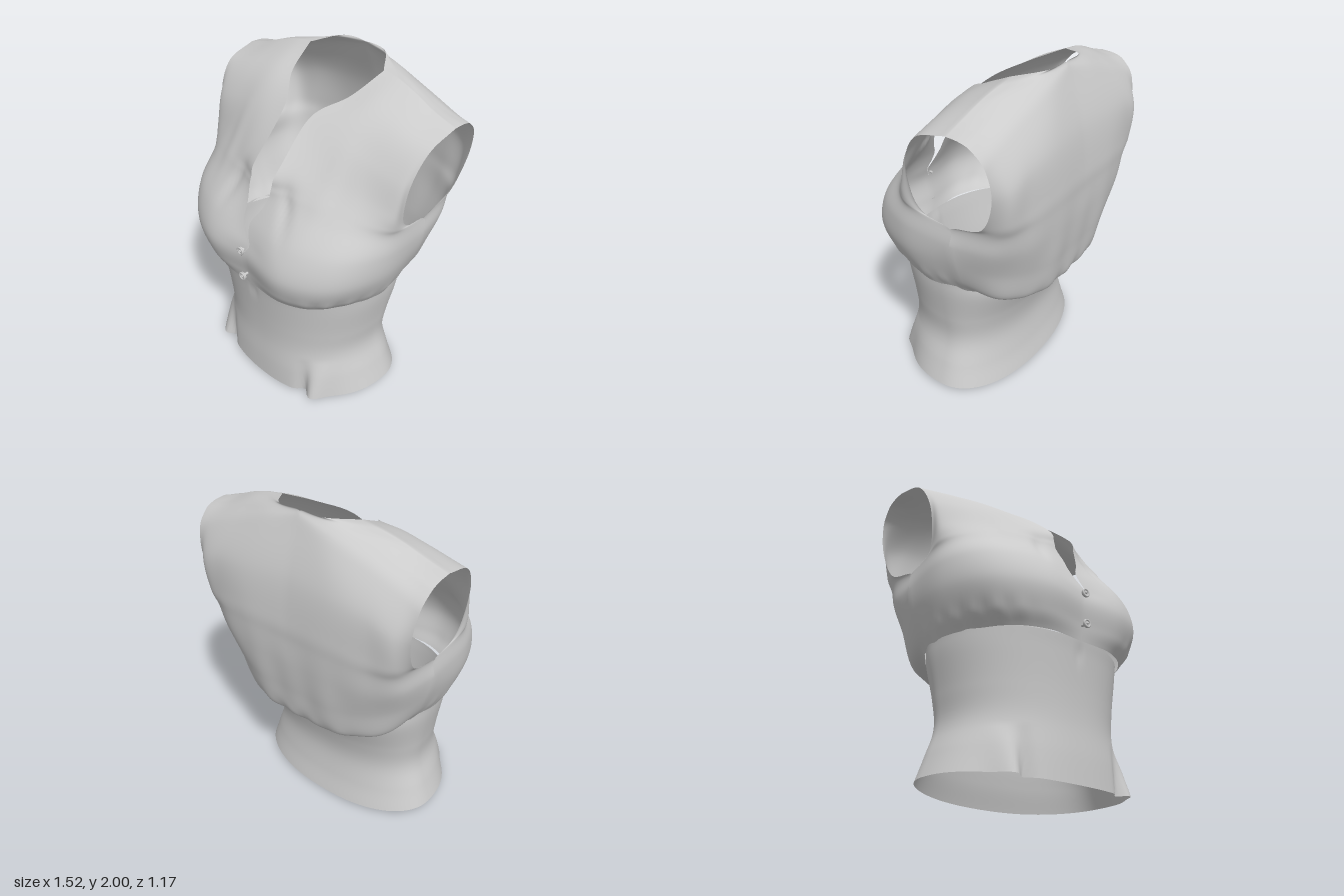
import * as THREE from 'three';
import { mergeGeometries, mergeVertices } from 'three/addons/utils/BufferGeometryUtils.js';

const cloth = new THREE.MeshStandardMaterial({ color: 0xcccccc, side: THREE.DoubleSide });
const solid = new THREE.MeshStandardMaterial({ color: 0xcccccc });
const gauss = (d, w) => Math.exp(-(d * d) / (w * w));
const power = (v, e) => Math.sign(v) * Math.abs(v) ** e;

// Armhole: a slightly squared, leaning oval; 0 degrees is the underarm, 180 the shoulder tip
function armhole(deg) {
  const a = THREE.MathUtils.degToRad(deg);
  const y = 1.54 - .285 * power(Math.cos(a), .85);
  return [.68 + .14 * (y - 1.255), y, -.21 + .03 * Math.cos(a) - .265 * power(Math.sin(a), .85)];
}

// Outer edge of each panel: side seam, then its half of the armhole
const sideSeam = [[.555, .78], [.615, .88], [.67, 1.03], [.69, 1.15]].map(([x, y]) => [x, y, -.18]);
const outerEdge = degrees => [...sideSeam, ...degrees.map(armhole)];
const shoulder = [[.27, 1.965, -.26], [.38, 1.95, -.26], [.5, 1.915, -.25], [.63, 1.865, -.24]];

// Panel rows run from the centre line towards the side, from the seam up to the shoulder
const withEdge = (rows, edge) => [...rows, shoulder].map((row, i) => [...row, edge[i]]);
const frontRows = withEdge([
  [[0, .79, .515], [.25, .79, .505], [.45, .79, .38], [.597, .79, .08]],
  [[0, .88, .53], [.28, .88, .545], [.51, .88, .41], [.64, .88, .11]],
  [[0, 1.03, .55], [.3, 1.03, .57], [.56, 1.03, .43], [.685, 1.03, .15]],
  [[.02, 1.2, .5], [.3, 1.2, .51], [.56, 1.2, .39], [.695, 1.18, .15]],
  [[.075, 1.38, .42], [.3, 1.37, .385], [.54, 1.34, .29], [.685, 1.29, .12]],
  [[.08, 1.45, .4], [.3, 1.445, .335], [.54, 1.4, .245], [.69, 1.35, .13]],
  [[.085, 1.55, .36], [.3, 1.54, .265], [.53, 1.49, .19], [.69, 1.44, .125]],
  [[.095, 1.77, .12], [.3, 1.73, .12], [.5, 1.67, .1], [.68, 1.62, .08]],
  [[.215, 1.87, -.06], [.35, 1.86, -.05], [.51, 1.82, -.04], [.67, 1.78, -.04]],
], outerEdge([0, -32, -62, -100, -140, -180]));
const backRows = withEdge([
  [[0, .7, -.395], [.2, .7, -.385], [.34, .73, -.35], [.46, .755, -.29]],
  [[0, .74, -.51], [.24, .74, -.5], [.42, .76, -.44], [.54, .8, -.35]],
  [[0, .95, -.55], [.26, .95, -.55], [.45, .96, -.49], [.6, .99, -.375]],
  [[0, 1.15, -.575], [.28, 1.15, -.575], [.49, 1.15, -.535], [.64, 1.15, -.42]],
  [[0, 1.3, -.58], [.29, 1.3, -.585], [.51, 1.29, -.55], [.645, 1.265, -.45]],
  [[0, 1.43, -.58], [.3, 1.43, -.587], [.52, 1.4, -.56], [.645, 1.37, -.515]],
  [[0, 1.68, -.545], [.3, 1.66, -.56], [.5, 1.63, -.55], [.645, 1.57, -.535]],
  [[0, 1.93, -.455], [.22, 1.88, -.475], [.45, 1.82, -.465], [.64, 1.75, -.46]],
  [[0, 1.995, -.425], [.22, 1.95, -.42], [.43, 1.895, -.39], [.62, 1.83, -.38]],
  [[.15, 1.995, -.41], [.27, 1.965, -.355], [.44, 1.925, -.32], [.62, 1.855, -.31]],
], outerEdge([0, 45, 88, 120, 148, 165, 180]));

// Catmull-Rom value at t along a list of points
function spline(pts, t) {
  const i = Math.min(Math.floor(t), pts.length - 2), f = t - i;
  const b = pts[i], c = pts[i + 1];
  const a = pts[i - 1] || b.map((v, k) => 2 * v - c[k]);
  const d = pts[i + 2] || c.map((v, k) => 2 * v - b[k]);
  return b.map((v, k) => v + .5 * f * (c[k] - a[k] + f * (2 * a[k] - 5 * v + 4 * c[k] - d[k]
    + f * (3 * (v - c[k]) + d[k] - a[k]))));
}

// Indexed grid surface from a point function
function grid(nu, nv, point, flip) {
  const pos = [], idx = [];
  for (let j = 0; j <= nv; j++) for (let i = 0; i <= nu; i++) pos.push(...point(i, j));
  for (let j = 0; j < nv; j++) for (let i = 0; i < nu; i++) {
    const a = j * (nu + 1) + i, b = a + 1, c = a + nu + 1, d = c + 1;
    idx.push(...(flip ? [a, d, b, a, c, d] : [a, b, d, a, d, c]));
  }
  const g = new THREE.BufferGeometry();
  g.setAttribute('position', new THREE.Float32BufferAttribute(pos, 3));
  g.setIndex(idx);
  return g;
}

// Gathers, creases and the uneven edge of the open placket
function drape([x, y, z]) {
  const ang = Math.atan2(z + .1, Math.abs(x)), r = Math.hypot(x, z + .1) || 1;
  let d = 0;
  if (z > -.15) {
    d += .007 * Math.sin(ang * 34) * gauss(y - .86, .05) * gauss(Math.abs(x) - .52, .14);
    d -= .02 * gauss(Math.abs(x) - .2 - (1.38 - y) * .35, .035) * gauss(y - 1.36, .12);
    d += .008 * gauss(Math.abs(x) - .36, .05) * gauss(y - 1.5, .2);
  } else {
    d += .004 * Math.cos(x * 26) * gauss(y - .95, .3) * gauss(x, .4);
    d += .006 * Math.sin(x * 37) * gauss(y - .75, .05) * gauss(x, .4);
  }
  const edge = z > 0 ? gauss(x, .15) : 0;
  const shift = .03 * gauss(y - 1.1, .04) - .025 * gauss(y - 1.23, .06) + .022 * gauss(y - 1.6, .15);
  return [x + d * x / r + edge * shift, y, z + d * (z + .1) / r];
}

function panel(rows, mirror, flip) {
  const nu = 40, step = 8;
  return grid(nu, (rows.length - 1) * step, (i, j) => {
    const p = spline(rows.map(row => spline(row, i / nu * 4)), j / step);
    p[0] = Math.max(0, p[0]) * mirror;
    return drape(p);
  }, flip);
}

function bodice() {
  const g = mergeVertices(mergeGeometries([
    panel(frontRows, 1, false), panel(frontRows, -1, true),
    panel(backRows, 1, true), panel(backRows, -1, false),
  ]), 1e-4);
  g.computeVertexNormals();
  return g;
}

// Waist sections: height, half width, front z, back z
const waistRows = [[0, .635, .49, -.335], [.15, .59, .485, -.3], [.33, .54, .475, -.28],
  [.5, .553, .48, -.31], [.7, .585, .497, -.38], [.8, .595, .51, -.385]];

function waist() {
  const nu = 160, step = 10, e = 2 / 2.25;
  let g = grid(nu, (waistRows.length - 1) * step, (i, j) => {
    const [h, w, zf, zb] = spline(waistRows, j / step);
    const a = (i % nu) / nu * Math.PI * 2, s = Math.sin(a), c = Math.cos(a), zc = -.01;
    const x = w * power(s, e);
    let z = zc + (c > 0 ? zf - zc : zc - zb) * power(c, e);
    const low = Math.max(0, 1 - h / .28);
    // raised sides of the hem and a pinched fold on each front side
    const y = h + .035 * low * s * s;
    if (c > 0) {
      const m = Math.abs(x);
      z += low * (.05 * gauss(m - .42, .055) - .035 * gauss(m - .33, .035));
      z -= .008 * gauss(x, .012) * gauss(y - .72, .06);
    }
    return [x, y, z];
  }, false);
  g = mergeVertices(g, 1e-4);
  g.computeVertexNormals();
  return g;
}

function button(y, z) {
  const group = new THREE.Group();
  const add = (geo, dz) => {
    const m = new THREE.Mesh(geo, solid);
    m.position.z = dz;
    group.add(m);
    return m;
  };
  add(new THREE.CylinderGeometry(.023, .023, .012, 24), 0).rotation.x = Math.PI / 2;
  add(new THREE.TorusGeometry(.021, .006, 8, 24), .005);
  add(new THREE.CylinderGeometry(.008, .008, .04, 10), -.02).rotation.x = Math.PI / 2;
  add(new THREE.SphereGeometry(.008, 10, 8), .006);
  group.name = 'button';
  group.position.set(-.005, y, z);
  return group;
}

export function createModel() {
  const model = new THREE.Group();
  model.name = 'sleevelessTop';
  for (const [name, geo] of [['bodice', bodice()], ['waistPanel', waist()]]) {
    const m = new THREE.Mesh(geo, cloth);
    m.name = name;
    model.add(m);
  }
  model.add(button(1.065, .565), button(.875, .565));
  return model;
}
